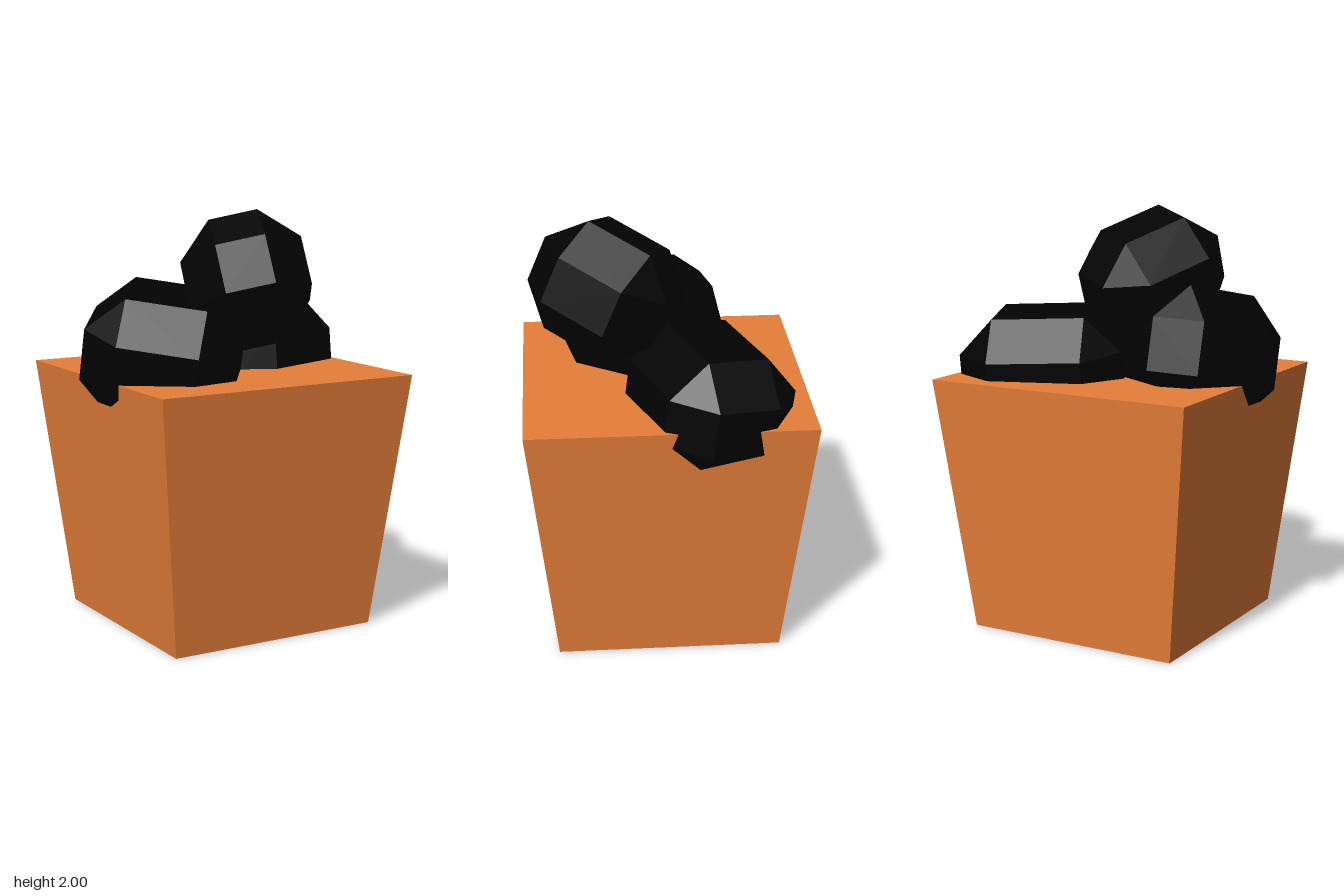
import * as THREE from 'three';
import { ConvexGeometry } from 'three/addons/geometries/ConvexGeometry.js';

// Box with chamfered edges and corners: half sizes of the flat faces plus one bevel
function chamferedBox([a, b, c], bevel) {
  const points = [];
  for (const sx of [-1, 1]) for (const sy of [-1, 1]) for (const sz of [-1, 1]) {
    for (let axis = 0; axis < 3; axis++) {
      const p = [a, b, c];
      p[axis] += bevel;
      points.push(new THREE.Vector3(sx * p[0], sy * p[1], sz * p[2]));
    }
  }
  return new ConvexGeometry(points);
}

function flatColor(name, color) {
  const material = new THREE.MeshStandardMaterial({ color });
  material.name = name;
  return material;
}

export function createModel() {
  const model = new THREE.Group();
  const terracotta = flatColor('terracotta', 0xe77f3a);
  const darkTerracotta = flatColor('darkTerracotta', 0xa34e26);
  const coal = flatColor('coalBlack', 0x020202);

  // Solid square bin, wider at the top, with a darker underside
  const height = 1.225, topHalf = 0.666, bottomHalf = 0.533;
  const binGeometry = new THREE.BoxGeometry(2, height, 2);
  const pos = binGeometry.attributes.position;
  for (let i = 0; i < pos.count; i++) {
    const half = pos.getY(i) > 0 ? topHalf : bottomHalf;
    pos.setX(i, pos.getX(i) * half);
    pos.setZ(i, pos.getZ(i) * half);
  }
  binGeometry.computeVertexNormals();
  const bin = new THREE.Mesh(binGeometry,
    [terracotta, terracotta, terracotta, darkTerracotta, terracotta, terracotta]);
  bin.name = 'bin';
  bin.position.set(-0.007, height / 2, 0);
  model.add(bin);

  // Lumps piled on top, each turned by its long direction and its up direction
  const lumps = [
    { name: 'leftLump', center: [0.313, 1.24, -0.195], along: [0.94, -0.043, -0.34],
      up: [0, 1, -0.125], flat: [0.223, 0.113, 0.15], bevel: 0.17 },
    { name: 'rightLump', center: [-0.347, 1.325, 0.075], along: [0.81, -0.14, 0.55],
      up: [0, 0.97, 0.25], flat: [0.188, 0.125, 0.17], bevel: 0.173 },
    { name: 'topLump', center: [-0.008, 1.662, 0.26], along: [0.5, -0.33, -0.8],
      up: [-0.02, 0.92, -0.387], flat: [0.17, 0.114, 0.114], bevel: 0.168 },
  ];
  for (const { name, center, along, up, flat, bevel } of lumps) {
    const x = new THREE.Vector3(...along).normalize();
    const z = new THREE.Vector3().crossVectors(x, new THREE.Vector3(...up)).normalize();
    const y = new THREE.Vector3().crossVectors(z, x);
    const lump = new THREE.Mesh(chamferedBox(flat, bevel), coal);
    lump.name = name;
    lump.quaternion.setFromRotationMatrix(new THREE.Matrix4().makeBasis(x, y, z));
    lump.position.set(...center);
    model.add(lump);
  }
  return model;
}
